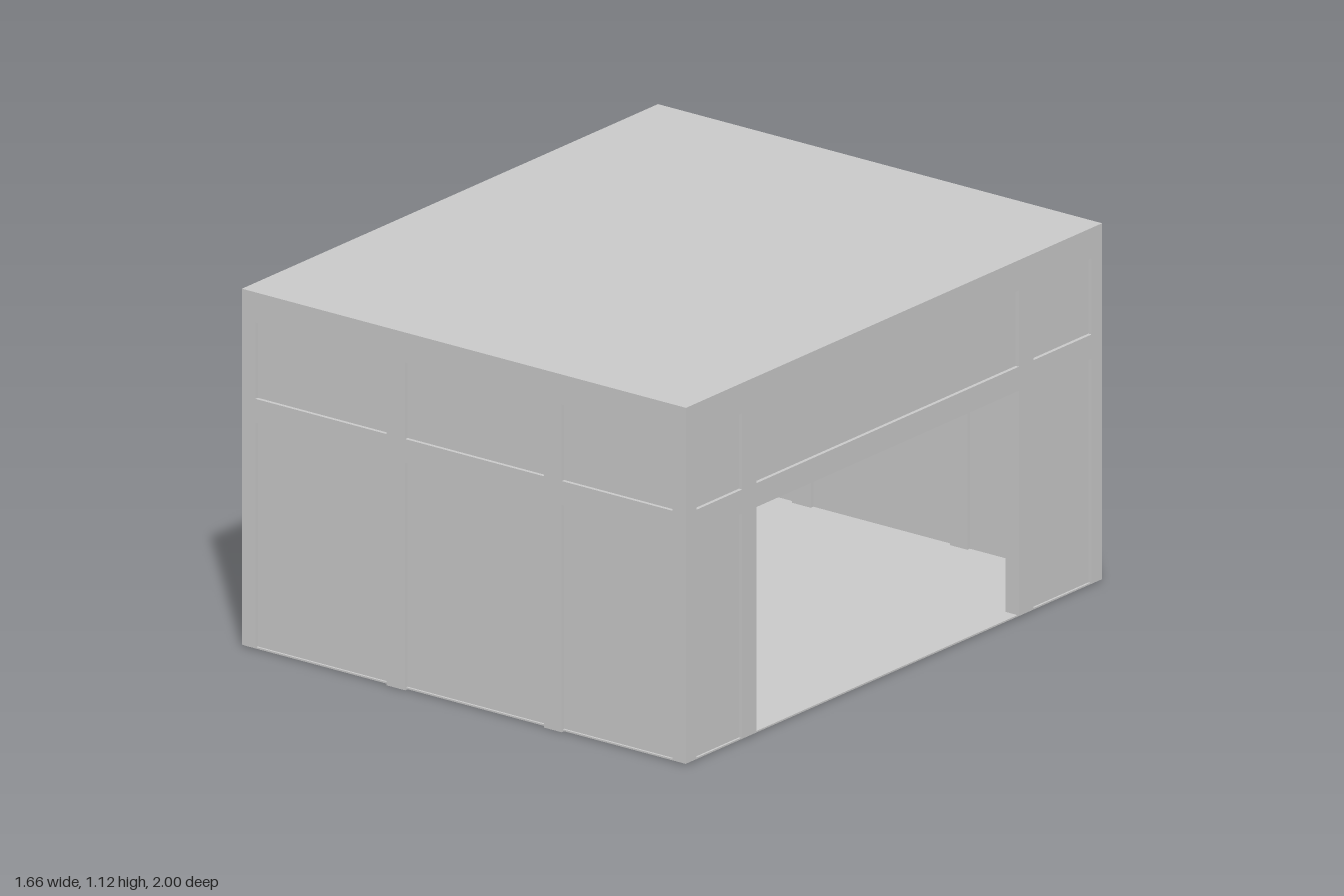
import * as THREE from 'three';

const W = 0.83, D = 1.0, H = 1.125;   // half width, half depth, height
const T = 0.05, PANEL_T = 0.026;      // frame and infill thickness
const HEAD_LOW = 0.715, HEAD_HIGH = 0.79, TOP_RAIL = 1.03;

export function createModel() {
  const grey = new THREE.MeshStandardMaterial({ color: 0xcccccc });
  grey.name = 'light grey';
  const model = new THREE.Group();
  model.name = 'openBuilding';

  function box(name, parent, w, h, d, x, y, z) {
    const mesh = new THREE.Mesh(new THREE.BoxGeometry(w, h, d), grey);
    mesh.name = name;
    mesh.position.set(x, y, z);
    parent.add(mesh);
  }

  // Framed wall: bays are notches up from the ground, lights are the row above.
  function wall(name, half, bays, lights, postBase) {
    const base = 0.006;
    const group = new THREE.Group();
    group.name = name;
    const shape = new THREE.Shape();
    shape.moveTo(-half, H);
    shape.lineTo(-half, base);
    bays.forEach(([a, b], i) => {
      shape.lineTo(a, i === 0 ? base : postBase);
      shape.lineTo(a, HEAD_LOW);
      shape.lineTo(b, HEAD_LOW);
      shape.lineTo(b, i === bays.length - 1 ? base : postBase);
    });
    shape.lineTo(half, base);
    shape.lineTo(half, H);
    shape.closePath();

    for (const [a, b] of lights) {
      const hole = new THREE.Path();
      hole.moveTo(a, HEAD_HIGH);
      hole.lineTo(a, TOP_RAIL);
      hole.lineTo(b, TOP_RAIL);
      hole.lineTo(b, HEAD_HIGH);
      hole.closePath();
      shape.holes.push(hole);
      box('upperPanel', group, b - a, TOP_RAIL - HEAD_HIGH, PANEL_T,
        (a + b) / 2, (TOP_RAIL + HEAD_HIGH) / 2, 0);
    }
    for (const [a, b, open] of bays) {
      if (open) continue;
      box('lowerPanel', group, b - a, HEAD_LOW - base, PANEL_T,
        (a + b) / 2, (HEAD_LOW + base) / 2, 0);
    }

    const geo = new THREE.ExtrudeGeometry(shape, { depth: T, bevelEnabled: false });
    geo.translate(0, 0, -T / 2);
    const frame = new THREE.Mesh(geo, grey);
    frame.name = 'wallFrame';
    group.add(frame);
    model.add(group);
    return group;
  }

  // Closed front and back walls
  const endBays = [[-0.78, -0.29], [-0.22, 0.30], [0.365, 0.78]];
  wall('frontWall', W, endBays, endBays, 0).position.z = D - T / 2;
  wall('backWall', W, endBays, endBays, 0).position.z = -D + T / 2;

  // Side walls with a wide opening, laid out along z
  const sideBays = [[-0.95, -0.67], [-0.60, 0.66, true], [0.73, 0.95]];
  const sideLights = [[-0.95, -0.67], [-0.60, 0.66], [0.73, 0.95]];
  const splitLights = [[-0.95, -0.67], [-0.60, 0.0], [0.07, 0.66], [0.73, 0.95]];
  for (const [name, s, lights] of [['leftWall', 1, sideLights], ['rightWall', -1, splitLights]]) {
    const side = wall(name, D, sideBays, lights, 0.006);
    side.rotation.y = -Math.PI / 2;
    side.position.x = s * (W - T / 2);
  }

  // Thin roof and floor
  box('roof', model, 2 * W, 0.008, 2 * D, 0, H - 0.004, 0);
  box('floor', model, 2 * W - 0.01, 0.005, 2 * D - 0.01, 0, 0.0055, 0);

  return model;
}
